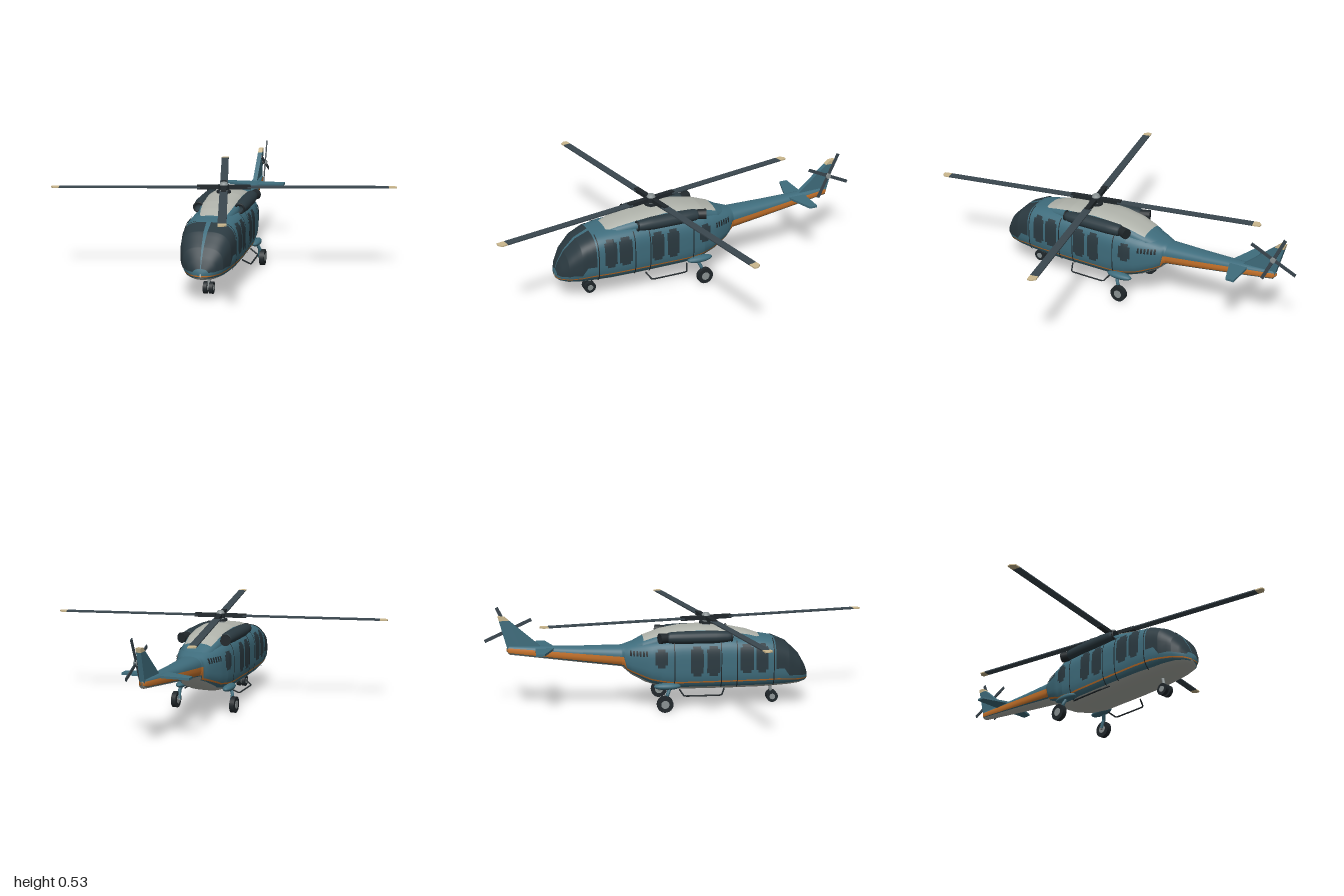
import * as THREE from 'three';

const mat = (name, color, double) => {
  const m = new THREE.MeshStandardMaterial({ color });
  m.name = name;
  if (double) m.side = THREE.DoubleSide;
  return m;
};
const M = {
  teal: mat('tealPaint', 0x3f6d7d, true), glass: mat('darkGlass', 0x2b3a41, true),
  orange: mat('orangePaint', 0xcb752b, true), grey: mat('lightGreyPaint', 0xb0b3ab, true),
  blade: mat('bladeGrey', 0x3a474f), black: mat('black', 0x20272b),
  tan: mat('tanTips', 0xcbb88e), metal: mat('metal', 0x8b9394),
};

// Linear lookup in a table of rows [z, a, b, ...] sorted from front to back
function at(table, z) {
  let i = 0;
  while (i < table.length - 2 && z < table[i + 1][0]) i++;
  const p = table[i], q = table[i + 1];
  const t = THREE.MathUtils.clamp((p[0] - z) / (p[0] - q[0]), 0, 1);
  return p.map((v, k) => v + (q[k] - v) * t);
}

// Hull stations: z, bottom, top, half width, roundness exponent
const HULL = [
  [0.672, 0.13, 0.145, 0.004, 2.4], [0.668, 0.122, 0.165, 0.035, 2.4], [0.655, 0.113, 0.2, 0.06, 2.5],
  [0.62, 0.105, 0.26, 0.096, 2.7], [0.56, 0.1, 0.318, 0.119, 3], [0.48, 0.097, 0.353, 0.131, 3.2],
  [0.4, 0.095, 0.366, 0.137, 3.4], [0.25, 0.094, 0.37, 0.139, 3.5], [0, 0.095, 0.372, 0.139, 3.5],
  [-0.1, 0.107, 0.368, 0.134, 3.3], [-0.18, 0.133, 0.355, 0.118, 3], [-0.25, 0.17, 0.337, 0.091, 2.8],
  [-0.3, 0.213, 0.322, 0.064, 2.5], [-0.5, 0.238, 0.322, 0.05, 2.5], [-0.7, 0.264, 0.326, 0.035, 2.5],
  [-0.87, 0.286, 0.332, 0.021, 2.5], [-0.885, 0.305, 0.318, 0.003, 2.5],
];
const COWL = [
  [0.44, 0.3, 0.355, 0.065, 2.6], [0.35, 0.3, 0.386, 0.088, 2.6], [0.25, 0.3, 0.406, 0.1, 2.6],
  [0.1, 0.3, 0.42, 0.104, 2.6], [0, 0.3, 0.415, 0.104, 2.6], [-0.1, 0.29, 0.397, 0.1, 2.6],
  [-0.2, 0.27, 0.362, 0.085, 2.6], [-0.28, 0.24, 0.322, 0.055, 2.6],
];
// Paint lines: z, belly edge, stripe bottom, stripe top
const LINES = [
  [0.672, 0.124, 0.13, 0.136], [0.5, 0.118, 0.144, 0.152], [-0.05, 0.118, 0.141, 0.149],
  [-0.15, 0.138, 0.156, 0.164], [-0.275, 0.2, 0.203, 0.212], [-0.29, 0.222, 0.228, 0.272], [-0.87, 0.294, 0.297, 0.322],
];
const TOP = Math.PI / 2;
// Ring angle at which a section reaches height y
const angleAt = (s, y) => {
  const t = THREE.MathUtils.clamp((2 * y - s[1] - s[2]) / (s[2] - s[1]), -1, 1);
  return Math.asin(Math.sign(t) * Math.abs(t) ** (s[4] / 2));
};

// Band of skin between two ring angles (functions of the section), on one side
function skin(table, z0, z1, lo, hi, side, eps = 0, rows = 10) {
  const zs = [...table, ...LINES].map(r => r[0]);
  for (let i = 0; i <= 8; i++) zs.push(z0 + (z1 - z0) * i / 8);
  const list = [...new Set(zs)].filter(z => z <= z0 && z >= z1).sort((a, b) => b - a);
  const pos = [], idx = [];
  list.forEach((z, i) => {
    const s = at(table, z), a0 = lo(s), a1 = hi(s);
    for (let j = 0; j <= rows; j++) {
      const a = a0 + (a1 - a0) * j / rows, e = 2 / s[4], sn = Math.sin(a);
      const x = (s[3] + eps) * Math.max(0, Math.cos(a)) ** e;
      const y = (s[1] + s[2]) / 2 + ((s[2] - s[1]) / 2 + eps) * Math.sign(sn) * Math.abs(sn) ** e;
      pos.push(side * x, y, z);
      if (i && j) {
        const d = i * (rows + 1) + j, c = d - 1, b = d - rows - 1, q = b - 1;
        idx.push(...(side > 0 ? [q, c, b, c, d, b] : [q, b, c, c, b, d]));
      }
    }
  });
  const g = new THREE.BufferGeometry();
  g.setAttribute('position', new THREE.Float32BufferAttribute(pos, 3));
  g.setIndex(idx);
  g.computeVertexNormals();
  return g;
}

export function createModel() {
  const root = new THREE.Group();
  root.name = 'helicopter';
  const add = (name, geo, m, x = 0, y = 0, z = 0, parent = root) => {
    const mesh = new THREE.Mesh(geo, m);
    mesh.name = name;
    mesh.position.set(x, y, z);
    parent.add(mesh);
    return mesh;
  };
  const rod = (name, pts, r, m) => add(name, new THREE.TubeGeometry(
    new THREE.CatmullRomCurve3(pts.map(p => new THREE.Vector3(...p)), false, 'catmullrom', 0.05), 24, r, 8), m);
  const box = (w, h, d) => new THREE.BoxGeometry(w, h, d);
  const cyl = (r0, r1, h, n = 24) => new THREE.CylinderGeometry(r0, r1, h, n);
  const line = k => s => angleAt(s, at(LINES, s[0])[k]);
  const level = y => s => angleAt(s, y);
  // Flat outline in (u, v), extruded and centred on its thickness
  const plate = (pts, t) => new THREE.ExtrudeGeometry(new THREE.Shape(pts.map(p => new THREE.Vector2(...p))),
    { depth: t, bevelEnabled: false }).translate(0, 0, -t / 2);

  for (const s of [1, -1]) {
    // Hull paint bands
    const front = 0.672, back = -0.885;
    add('belly', skin(HULL, front, back, () => -TOP, line(1), s), M.grey);
    add('lowerHull', skin(HULL, front, back, line(1), line(2), s, 0, 3), M.teal);
    add('stripe', skin(HULL, front, back, line(2), line(3), s, 0, 3), M.orange);
    add('upperHull', skin(HULL, front, back, line(3), () => TOP, s, 0, 16), M.teal);

    // Windscreen with a narrow centre post
    const sill = [[0.672, 0.15], [0.6, 0.165], [0.56, 0.165], [0.535, 0.205], [0.48, 0.205]];
    add('windscreen', skin(HULL, 0.668, 0.487, q => angleAt(q, at(sill, q[0])[1]), () => 1.55, s, 0.004, 16), M.glass);

    // Side windows, door seams and vents
    const panel = (name, z0, z1, y0, y1, m) => add(name, skin(HULL, z0, z1, level(y0), level(y1), s, 0.004), m);
    for (const [z0, z1, y0, y1] of [[0.445, 0.382, 0.19, 0.335], [0.37, 0.3, 0.19, 0.335],
      [0.195, 0.128, 0.18, 0.33], [0.11, 0.045, 0.18, 0.33], [-0.072, -0.135, 0.225, 0.318]]) {
      panel('sideWindow', z0, z1, y0 + 0.015, y1 - 0.015, M.glass);
      panel('sideWindowEnds', z0 - 0.012, z1 + 0.012, y0, y1, M.glass);
    }
    for (const z of [0.479, 0.287, 0.205, -0.035]) panel('doorSeam', z, z - 0.005, 0.115, 0.35, M.black);
    for (let i = 0; i < 6; i++) panel('vent', -0.172 - i * 0.016, -0.181 - i * 0.016, 0.28, 0.306, M.black);

    // Engine cowling
    add('cowling', skin(COWL, 0.44, -0.28, () => -0.6, () => TOP, s, 0, 14), M.teal);
    add('cowlingTop', skin(COWL, 0.41, -0.19, () => 0.72, () => TOP, s, 0.003, 14), M.grey);
    const profile = [[0.022, -0.17], [0.032, -0.155], [0.036, -0.09], [0.036, 0.08], [0.03, 0.14], [0.024, 0.165], [0.018, 0.165], [0.016, 0.13], [0, 0.13]];
    const engine = add('engine', new THREE.LatheGeometry([[0, -0.17], ...profile].map(p => new THREE.Vector2(...p)), 20)
      .rotateX(Math.PI / 2), M.glass, s * 0.104, 0.374, 0.095);
    engine.scale.y = 0.9;
    add('intakeRing', new THREE.TorusGeometry(0.023, 0.005, 8, 20), M.black, s * 0.104, 0.374, 0.258);
    const exhaust = add('exhaust', new THREE.CylinderGeometry(0.027, 0.024, 0.06, 18, 1, false).rotateX(-Math.PI / 2), M.black, s * 0.11, 0.374, -0.085);
    exhaust.rotation.y = -s * 0.35;

    // Main landing gear
    const sponson = add('sponson', new THREE.SphereGeometry(1, 18, 12), M.teal, s * 0.128, 0.127, -0.075);
    sponson.scale.set(0.026, 0.018, 0.07);
    rod('mainStrut', [[s * 0.13, 0.125, -0.06], [s * 0.146, 0.09, -0.075], [s * 0.142, 0.045, -0.09]], 0.009, M.teal);
    rod('mainAxle', [[s * 0.135, 0.042, -0.09], [s * 0.165, 0.042, -0.09]], 0.007, M.metal);
    const wheel = (name, r, w, x, z) => {
      add(name + 'Tyre', cyl(r, r, w).rotateZ(TOP), M.black, x, r, z);
      add(name + 'Hub', cyl(r * 0.5, r * 0.5, w + 0.004).rotateZ(TOP), M.metal, x, r, z);
    };
    wheel('mainWheel', 0.042, 0.025, s * 0.16, -0.09);
    wheel('noseWheel', 0.03, 0.019, s * 0.015, 0.49);

    // Cabin step
    rod('cabinStep', [[s * 0.11, 0.105, 0.22], [s * 0.152, 0.08, 0.2], [s * 0.152, 0.08, 0.01], [s * 0.11, 0.105, -0.01]], 0.004, M.black);

    // Tailplane half
    const half = [[0, -0.635], [0.03, -0.645], [0.17, -0.692], [0.17, -0.735], [0, -0.738]];
    add('tailplane', plate(half.map(([x, z]) => [s * x, z]), 0.011).rotateX(TOP), M.teal, 0, 0.314, 0);
  }
  root.children.filter(c => c.name === 'tailplane').forEach(c => { c.geometry.computeVertexNormals(); });

  // Nose gear leg
  rod('noseStrut', [[0, 0.11, 0.475], [0, 0.03, 0.49]], 0.008, M.metal);
  add('noseAxle', cyl(0.006, 0.006, 0.045, 12).rotateZ(TOP), M.metal, 0, 0.03, 0.49);

  // Tail fin, drawn in (-z, y) and turned to stand along the centre line
  const fin = (pts, t) => plate(pts, t).rotateY(TOP);
  add('tailFin', fin([[0.7, 0.315], [0.87, 0.462], [0.918, 0.462], [0.875, 0.3], [0.8, 0.295]], 0.024), M.teal);
  add('tailFinCap', fin([[0.87, 0.462], [0.892, 0.482], [0.924, 0.484], [0.918, 0.462]], 0.024), M.tan);

  // Tail rotor
  const tailRotor = new THREE.Group();
  tailRotor.name = 'tailRotor';
  tailRotor.position.set(0.03, 0.405, -0.875);
  root.add(tailRotor);
  add('tailRotorShaft', cyl(0.009, 0.009, 0.04, 14).rotateZ(TOP), M.black, -0.012, 0, 0, tailRotor);
  add('tailRotorHub', cyl(0.014, 0.014, 0.016, 16).rotateZ(TOP), M.metal, 0.002, 0, 0, tailRotor);
  for (let i = 0; i < 4; i++) {
    const arm = new THREE.Group();
    arm.name = 'tailRotorBlade';
    arm.rotation.x = -0.43 + i * TOP;
    tailRotor.add(arm);
    add('tailBlade', box(0.005, 0.12, 0.017), M.blade, 0, 0.071, 0, arm);
  }

  // Main rotor
  const rotor = new THREE.Group();
  rotor.name = 'mainRotor';
  rotor.position.set(0, 0.457, 0.14);
  root.add(rotor);
  add('mast', cyl(0.016, 0.024, 0.06), M.metal, 0, -0.03, 0, rotor);
  add('swashplate', cyl(0.036, 0.036, 0.01), M.black, 0, -0.024, 0, rotor);
  add('rotorHub', cyl(0.03, 0.03, 0.022), M.black, 0, 0, 0, rotor);
  add('rotorCap', cyl(0.016, 0.023, 0.014), M.metal, 0, 0.017, 0, rotor);
  for (let i = 0; i < 4; i++) {
    const arm = new THREE.Group();
    arm.name = 'mainBlade';
    arm.rotation.y = 0.2 + i * TOP;
    rotor.add(arm);
    add('bladeGrip', box(0.115, 0.02, 0.026), M.black, 0.078, 0, 0, arm);
    add('bladeSpan', box(0.71, 0.006, 0.04), M.blade, 0.475, 0, 0, arm);
    const tip = plate([[0.83, -0.02], [0.858, -0.02], [0.872, 0.002], [0.868, 0.02], [0.83, 0.02]], 0.006).rotateX(TOP);
    add('bladeTip', tip, M.tan, 0, 0, 0, arm);
  }
  return root;
}
